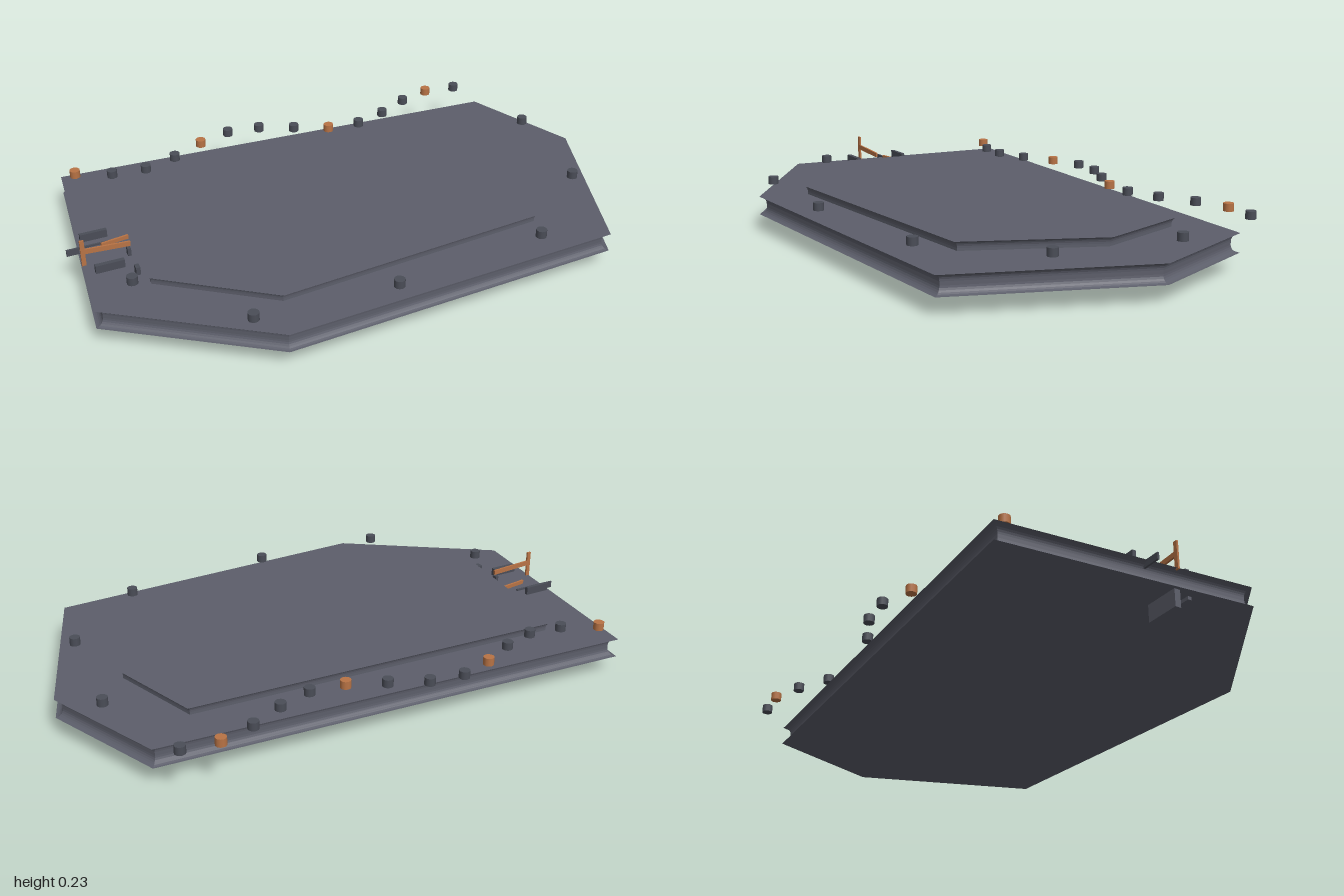
import * as THREE from 'three';

const slate = new THREE.MeshStandardMaterial({ color: 0x5c5e6a });
const dark = new THREE.MeshStandardMaterial({ color: 0x4a4d57 });
const copper = new THREE.MeshStandardMaterial({ color: 0xb87345 });

// Flat polygon slab whose rim is hollowed inward by a negative bevel
function slab(name, outline, y0, y1, bevel, inset) {
  const shape = new THREE.Shape(outline.map(([x, z]) => new THREE.Vector2(x, -z)));
  const geo = new THREE.ExtrudeGeometry(shape, {
    depth: y1 - y0 - 2 * bevel,
    bevelThickness: bevel,
    bevelSize: -inset,
    bevelSegments: 6,
  });
  geo.rotateX(-Math.PI / 2);
  geo.translate(0, y0 + bevel, 0);
  const mesh = new THREE.Mesh(geo, slate);
  mesh.name = name;
  return mesh;
}

function box(name, size, pos, mat, turnY = 0, turnZ = 0) {
  const mesh = new THREE.Mesh(new THREE.BoxGeometry(...size), mat);
  mesh.name = name;
  mesh.position.set(...pos);
  mesh.rotation.set(0, turnY, turnZ);
  return mesh;
}

export function createModel() {
  const model = new THREE.Group();

  // Base slab and raised deck
  model.add(slab('baseSlab', [
    [-0.895, -0.615], [0.835, -0.515], [1, -0.08], [0.75, 0.58], [-0.485, 0.64], [-1, 0.27],
  ], 0.062, 0.129, 0.027, 0.025));
  model.add(slab('raisedDeck', [
    [-0.73, -0.45], [0.665, -0.395], [0.77, -0.045], [0.565, 0.41], [-0.44, 0.485], [-0.81, 0.205],
  ], 0.1, 0.163, 0.025, 0.018));

  // Studs: a wavy row along the back and a loose ring round the rim
  const studs = new THREE.Group();
  studs.name = 'studs';
  const studGeo = new THREE.CylinderGeometry(0.019, 0.019, 0.028, 12);
  const addStud = (x, z, mat) => {
    const stud = new THREE.Mesh(studGeo, mat);
    stud.name = 'stud';
    stud.position.set(x, 0.168, z);
    studs.add(stud);
  };
  for (let i = 0; i < 14; i++) {
    addStud(-0.853 + i * 0.1257, -0.553 + 0.073 * Math.sin(i * 0.9), i % 4 === 0 ? copper : dark);
  }
  for (const [x, z] of [
    [0.885, -0.227], [0.825, 0.222], [0.5, 0.52], [-0.075, 0.58], [-0.567, 0.55], [-0.853, 0.203],
  ]) addStud(x, z, dark);
  model.add(studs);

  // Mechanism on the right-hand edge
  const mechanism = new THREE.Group();
  mechanism.name = 'edgeMechanism';
  mechanism.add(
    box('post', [0.015, 0.1, 0.007], [-0.963, 0.176, 0], copper),
    box('arm', [0.17, 0.018, 0.007], [-0.885, 0.178, 0], copper, 0, -0.06),
    box('lever', [0.1, 0.014, 0.008], [-0.835, 0.145, -0.08], copper, 0.15),
    box('sidePlate', [0.095, 0.03, 0.014], [-0.893, 0.143, -0.147], dark),
    box('sidePlate', [0.1, 0.03, 0.016], [-0.89, 0.143, 0.06], dark),
    box('rod', [0.165, 0.024, 0.007], [-0.917, 0.123, -0.104], dark),
    box('catch', [0.015, 0.03, 0.025], [-0.813, 0.143, 0.12], dark),
    box('catch', [0.012, 0.03, 0.02], [-0.808, 0.143, 0], dark),
    box('lowerFin', [0.126, 0.066, 0.022], [-0.892, 0.033, 0.001], slate),
    box('lowerRail', [0.1, 0.02, 0.014], [-0.89, 0.06, 0.063], slate),
  );
  model.add(mechanism);

  return model;
}
